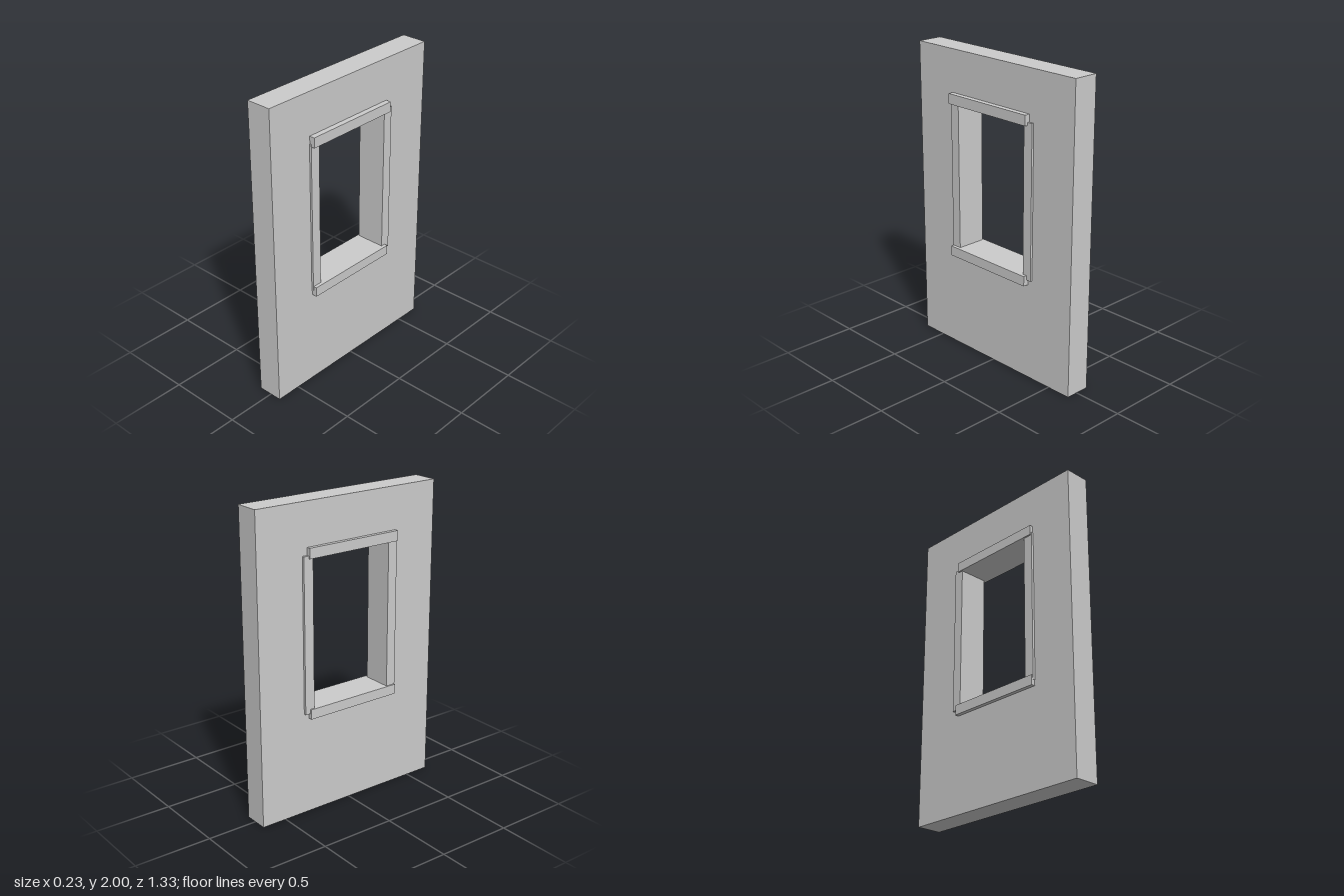
import * as THREE from 'three';

export function createModel() {
  const model = new THREE.Group();
  const material = new THREE.MeshStandardMaterial({ color: 0xcccccc, flatShading: true });

  const add = (name, geometry) => {
    const mesh = new THREE.Mesh(geometry, material);
    mesh.name = name;
    model.add(mesh);
    return mesh;
  };

  // A closed rectangle in the wall's own plane (z along, y up)
  const rectangle = (Type, z0, z1, y0, y1) => new Type([
    new THREE.Vector2(z0, y0), new THREE.Vector2(z1, y0),
    new THREE.Vector2(z1, y1), new THREE.Vector2(z0, y1),
  ]);

  // Wall slab with a window opening
  const outline = rectangle(THREE.Shape, -0.667, 0.667, 0, 2);
  outline.holes.push(rectangle(THREE.Path, -0.333, 0.333, 0.667, 1.667));
  const slab = new THREE.ExtrudeGeometry(outline, { depth: 0.167, bevelEnabled: false });
  slab.rotateY(-Math.PI / 2).translate(0.077, 0, 0);
  add('wall', slab);

  // Frame bars run right through the wall and stand proud on both faces
  const bar = (name, [x0, x1], [y0, y1], [z0, z1]) => {
    add(name, new THREE.BoxGeometry(x1 - x0, y1 - y0, z1 - z0))
      .position.set((x0 + x1) / 2, (y0 + y1) / 2, (z0 + z1) / 2);
  };

  // Lintel and sill
  const railX = [-0.116, 0.113], railZ = [-0.312, 0.357];
  bar('windowLintel', railX, [1.659, 1.725], railZ);
  bar('windowSill', railX, [0.64, 0.705], railZ);

  // Upright jambs
  const jambX = [-0.106, 0.091], jambY = [0.676, 1.677];
  bar('frontJamb', jambX, jambY, [0.294, 0.36]);
  bar('backJamb', jambX, jambY, [-0.347, -0.281]);

  return model;
}
